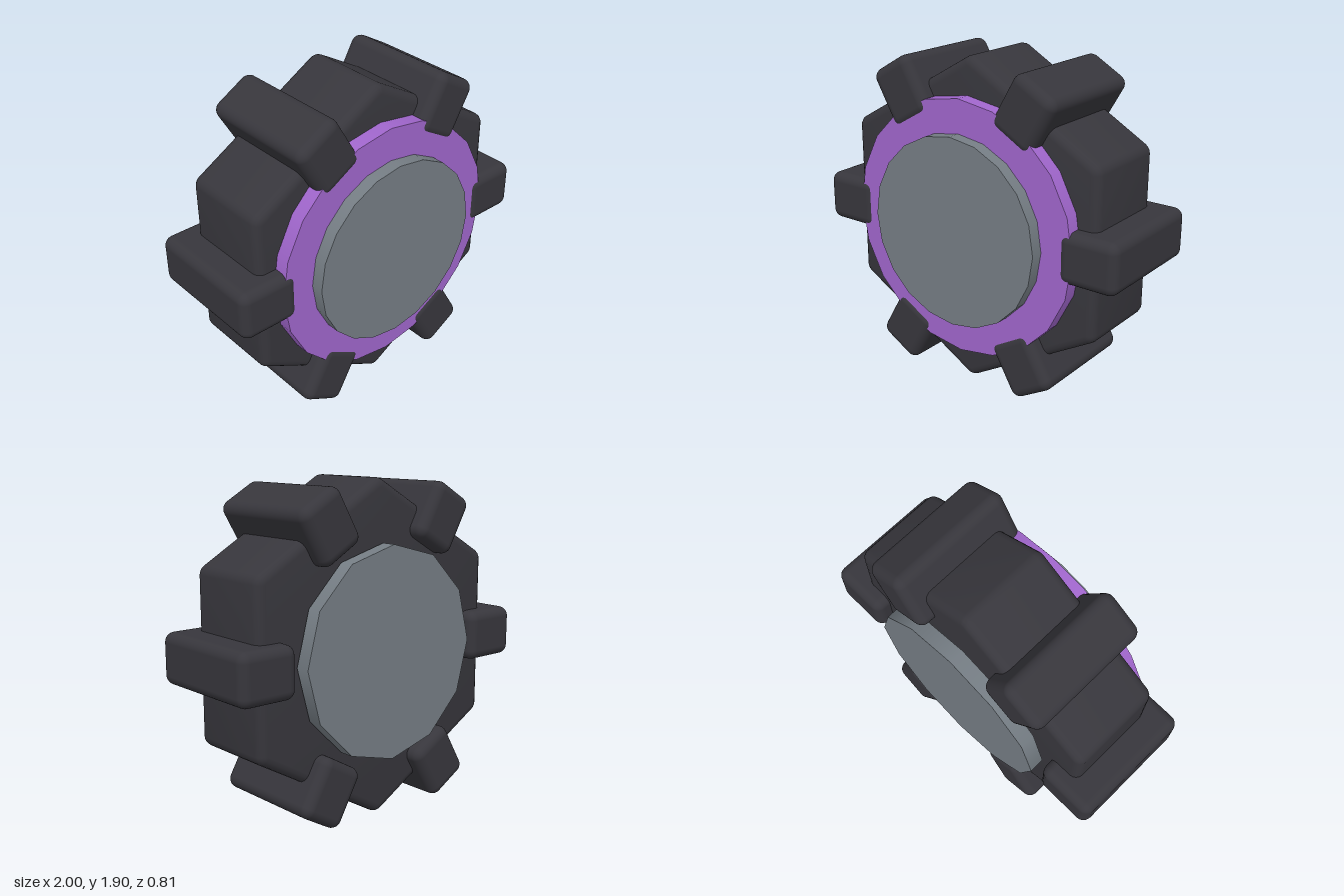
import * as THREE from 'three';
import { toCreasedNormals } from 'three/addons/utils/BufferGeometryUtils.js';
import { RoundedBoxGeometry } from 'three/addons/geometries/RoundedBoxGeometry.js';

const CENTRE_Y = 0.95;

function material(name, color) {
  const m = new THREE.MeshStandardMaterial({ color });
  m.name = name;
  return m;
}

// Hexagon with a point at the top and softly rounded corners
function roundedHexagon(apothem, radius) {
  const shape = new THREE.Shape();
  const arcCentre = (apothem - radius) / Math.cos(Math.PI / 6);
  for (let i = 0; i < 6; i++) {
    const a = Math.PI / 6 + i * Math.PI / 3;
    for (let j = 0; j <= 3; j++) {
      const t = a + (j / 3 - 0.5) * Math.PI / 3;
      const x = Math.cos(a) * arcCentre + Math.cos(t) * radius;
      const y = Math.sin(a) * arcCentre + Math.sin(t) * radius;
      if (i + j === 0) shape.moveTo(x, y);
      else shape.lineTo(x, y);
    }
  }
  shape.closePath();
  return shape;
}

export function createModel() {
  const rubber = material('dark rubber', 0x37363c);
  const purple = material('purple rim', 0xa066cc);
  const grey = material('grey metal', 0x757d84);

  const wheel = new THREE.Group();
  wheel.name = 'wheel';
  wheel.position.y = CENTRE_Y;

  const add = (name, geometry, mat) => {
    const mesh = new THREE.Mesh(geometry, mat);
    mesh.name = name;
    wheel.add(mesh);
    return mesh;
  };

  // Disc along z between two depths
  const disc = (name, radius, back, front, sides, mat) => {
    const g = new THREE.CylinderGeometry(radius, radius, front - back, sides);
    g.rotateX(Math.PI / 2);
    g.translate(0, 0, (front + back) / 2);
    return add(name, g, mat);
  };

  // Tyre body: bevelled hexagonal prism, z -0.305 to 0.245
  const bevel = 0.05;
  const body = new THREE.ExtrudeGeometry(roundedHexagon(0.83 - bevel, 0.015), {
    depth: 0.55 - 2 * bevel,
    bevelSize: bevel,
    bevelThickness: bevel,
    bevelSegments: 4,
  });
  body.translate(0, 0, -0.305 + bevel);
  add('tyreBody', toCreasedNormals(body, 0.6), rubber);

  // Rim and hub discs
  disc('rim', 0.74, 0.15, 0.33, 20, purple);
  disc('frontHub', 0.548, 0.3, 0.405, 20, grey);
  disc('backHub', 0.6, -0.41, -0.322, 12, grey);

  // Six tread lugs around the tyre
  for (let i = 0; i < 6; i++) {
    const lug = new RoundedBoxGeometry(0.35, 0.29, 0.74, 4, 0.055);
    lug.translate(0.825, 0, -0.03);
    lug.rotateZ(i * Math.PI / 3);
    add('treadLug' + (i + 1), lug, rubber);
  }

  const model = new THREE.Group();
  model.name = 'lugWheel';
  model.add(wheel);
  return model;
}
